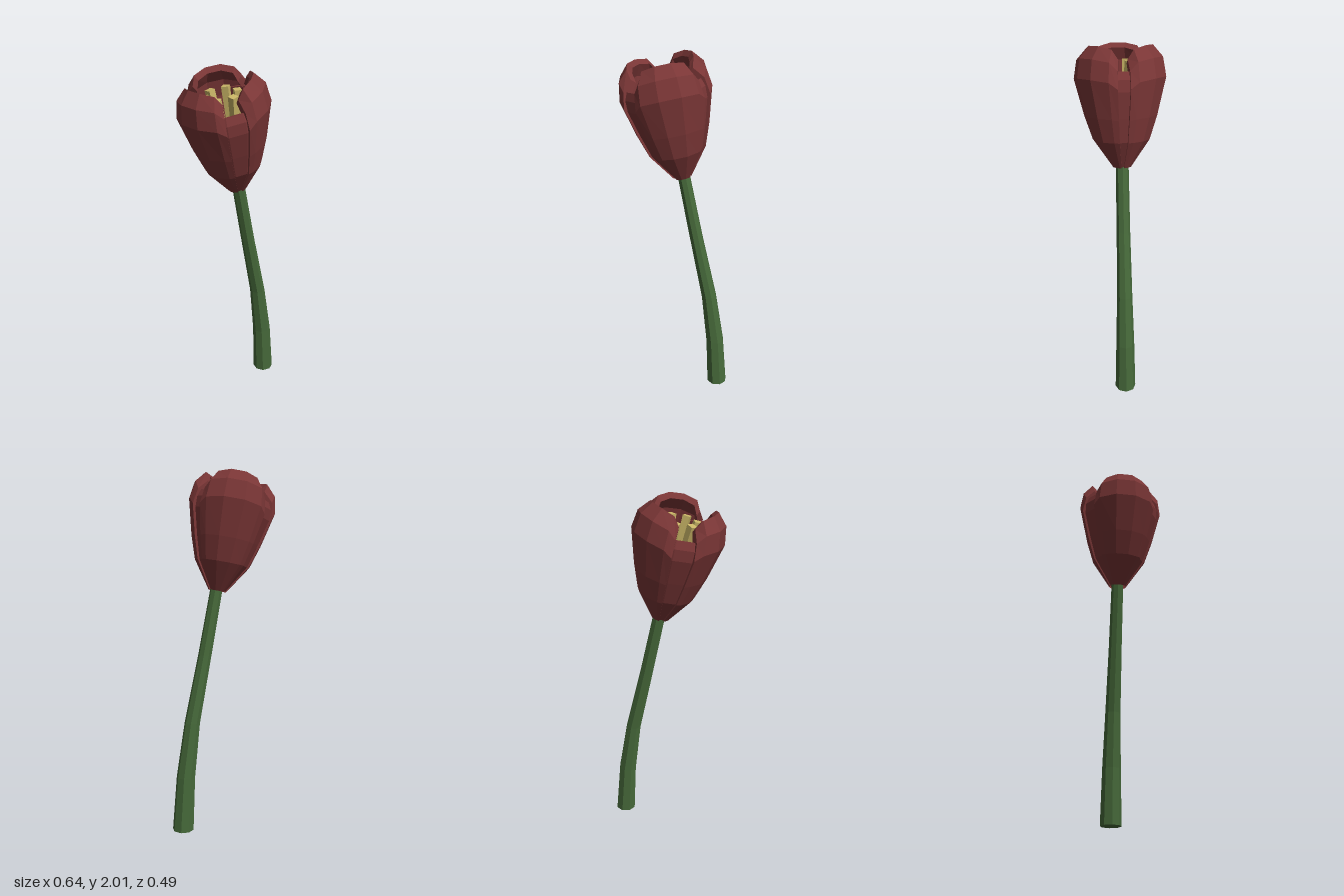
import * as THREE from 'three';

const mat = (color, side = THREE.FrontSide) => new THREE.MeshStandardMaterial({ color, flatShading: true, side });
const RED = mat(0x7a3636, THREE.DoubleSide), GREEN = mat(0x46693a), YELLOW = mat(0xc9b566);

// Petal cross-section [radius, height]: up the outside, over the curled lip, down the inside
const OUTER = [[.05, -.005], [.155, .15], [.197, .28], [.245, .48], [.228, .58], [.175, .64],
  [.15, .615], [.19, .55], [.198, .46], [.155, .28], [.11, .16], [0, .06]];
const INNER = [[.046, 0], [.145, .15], [.185, .28], [.222, .42], [.222, .48], [.205, .52],
  [.185, .515], [.185, .47], [.185, .41], [.148, .28], [.105, .16], [0, .065]];

// Columns across a petal: [position across the width, height loss, radius factor]
const COLUMNS = [[-1, .1, .97], [-.78, .025, 1], [-.28, 0, 1], [.28, 0, 1], [.78, .025, 1], [1, .1, .97]];

function petalGeometry(profile, centreDeg, halfDeg) {
  const pos = [];
  const cols = COLUMNS.map(([u, loss, k]) => {
    const a = THREE.MathUtils.degToRad(centreDeg + u * halfDeg);
    return profile.map(([r, h]) => {
      const f = THREE.MathUtils.clamp((h - .2) / .3, 0, 1);   // only the upper part is rounded off
      const rr = r * (1 + (k - 1) * f);
      return [rr * Math.cos(a), h * (1 - loss * f), rr * Math.sin(a)];
    });
  });
  const quad = (a, b, c, d) => pos.push(...a, ...b, ...c, ...a, ...c, ...d);
  const n = profile.length;
  for (let c = 0; c < cols.length - 1; c++)
    for (let i = 0; i < n - 1; i++)
      quad(cols[c][i], cols[c][i + 1], cols[c + 1][i + 1], cols[c + 1][i]);
  // Side edges close the thickness
  const first = cols[0], last = cols[cols.length - 1];
  for (let i = 0; i < n / 2 - 1; i++) {
    quad(last[i], last[i + 1], last[n - 2 - i], last[n - 1 - i]);
    quad(first[n - 1 - i], first[n - 2 - i], first[i + 1], first[i]);
  }
  const g = new THREE.BufferGeometry();
  g.setAttribute('position', new THREE.Float32BufferAttribute(pos, 3));
  g.computeVertexNormals();
  return g;
}

function add(parent, name, geometry, material) {
  const m = new THREE.Mesh(geometry, material);
  m.name = name;
  parent.add(m);
  return m;
}

// Bent, tapering stem: rings of a cylinder moved to [x, y, radius]
function stemGeometry() {
  const rings = [[.26, 0, .06], [.239, .31, .053], [.193, .62, .044], [.105, 1, .038], [.022, 1.38, .035]];
  const g = new THREE.CylinderGeometry(1, 1, 1, 8, rings.length - 1);
  const p = g.attributes.position;
  for (let i = 0; i < p.count; i++) {
    const [x, y, r] = rings[Math.round((p.getY(i) + .5) * (rings.length - 1))];
    p.setXYZ(i, x + p.getX(i) * r, y, p.getZ(i) * r);
  }
  g.computeVertexNormals();
  return g;
}

export function createModel() {
  const model = new THREE.Group();
  model.name = 'flower';
  add(model, 'stem', stemGeometry(), GREEN);

  // Blossom leans along the stem
  const head = new THREE.Group();
  head.name = 'blossom';
  head.position.set(.018, 1.36, 0);
  head.rotation.z = THREE.MathUtils.degToRad(12);
  model.add(head);
  [180, 56, -56].forEach(a => add(head, 'outerPetal', petalGeometry(OUTER, a, 48), RED));
  [0, 118, -118].forEach(a => add(head, 'innerPetal', petalGeometry(INNER, a, 44), RED));

  // Pistil in the middle
  add(head, 'pistil', new THREE.CylinderGeometry(.042, .025, .3, 6), YELLOW).position.y = .21;

  // Six flaring stamens around it
  for (let i = 0; i < 6; i++) {
    const a = Math.PI / 6 + i * Math.PI / 3;
    const from = new THREE.Vector3(Math.cos(a) * .025, .1, Math.sin(a) * .025);
    const to = new THREE.Vector3(Math.cos(a) * .085, .56, Math.sin(a) * .085);
    const dir = to.clone().sub(from);
    const g = new THREE.CylinderGeometry(.027, .012, dir.length(), 4).rotateY(Math.PI / 4 - a);
    const s = add(head, 'stamen', g, YELLOW);
    s.position.copy(from).add(to).multiplyScalar(.5);
    s.quaternion.setFromUnitVectors(new THREE.Vector3(0, 1, 0), dir.normalize());
  }
  return model;
}
